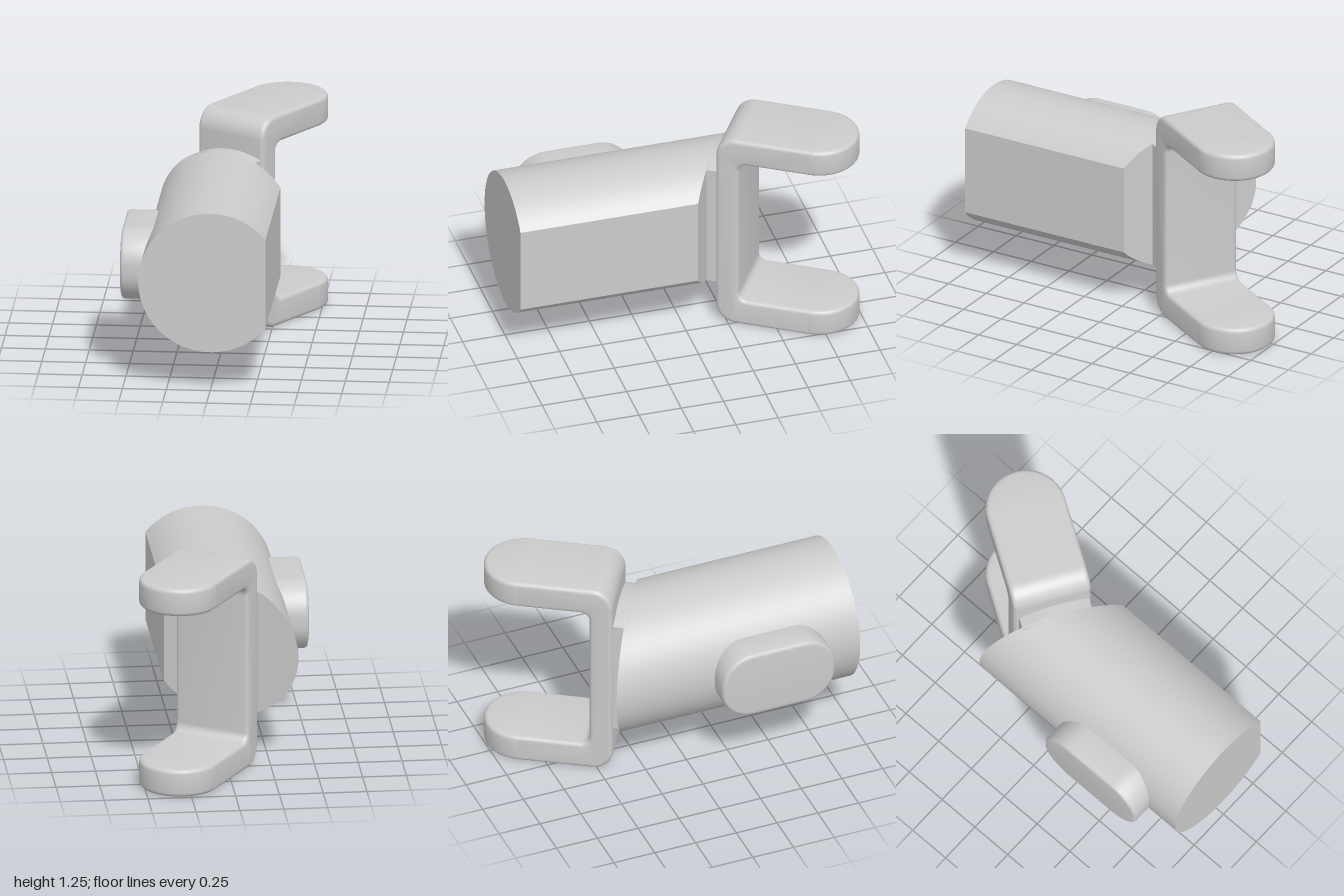
import * as THREE from 'three';
import { toCreasedNormals } from 'three/addons/utils/BufferGeometryUtils.js';

const TURN = THREE.MathUtils.degToRad(58); // heading of the fork, seen from above
const AXIS_Y = 0.637;                      // height of the body's axis
const R = 0.41;                            // body radius
const BEVEL = 0.025;

// the slanted plane that closes the back of the body
const slantZ = (x) => -0.243 + 0.61 * x;

export function createModel() {
  const model = new THREE.Group();
  const material = new THREE.MeshStandardMaterial({ color: 0xcccccc });

  function add(parent, name, geometry) {
    const mesh = new THREE.Mesh(toCreasedNormals(geometry, 0.55), material);
    mesh.name = name;
    parent.add(mesh);
    return mesh;
  }

  // extrude a shape from z = 0 to 1, then place each vertex by a rule
  function extrudeByRule(shape, rule) {
    const g = new THREE.ExtrudeGeometry(shape, { depth: 1, bevelEnabled: false, curveSegments: 32 });
    const p = g.attributes.position;
    for (let i = 0; i < p.count; i++) {
      p.setXYZ(i, ...rule(p.getX(i), p.getY(i), p.getZ(i) > 0.5));
    }
    return g;
  }

  // body: round bar with one flat side and a slanted back end
  const flat = Math.acos(0.315 / R);
  const bodyShape = new THREE.Shape();
  bodyShape.absarc(0, AXIS_Y, R, flat, 2 * Math.PI - flat, false);
  bodyShape.closePath();
  add(model, 'body', extrudeByRule(bodyShape, (x, y, front) => [x, y, front ? 1 : slantZ(x)]));

  // neck: middle slice of the bar, carried on into the fork
  const a = Math.acos(0.16 / R), b = Math.acos(-0.195 / R);
  const neckShape = new THREE.Shape();
  neckShape.absarc(0, AXIS_Y, R - 0.002, a, b, false);
  neckShape.absarc(0, AXIS_Y, R - 0.002, -b, -a, false);
  neckShape.closePath();
  add(model, 'neck', extrudeByRule(neckShape, (x, y, front) => {
    const reach = front ? -0.02 : 0.1;
    return [x + reach * Math.cos(TURN), y, slantZ(x) - reach * Math.sin(TURN)];
  }));

  // fork: C-shaped bracket; local x points outward, local z runs across its width
  const fork = new THREE.Group();
  fork.name = 'fork';
  fork.rotation.y = TURN;
  model.add(fork);

  const top = 1.25, arm = 0.163, half = 0.23, mid = -0.157;
  const back = 0.265, inner = 0.4, tip = 0.812, end = tip + BEVEL;
  const ro = 0.12, ri = 0.05;
  const c = new THREE.Shape();
  c.moveTo(end, 0);
  c.lineTo(end, arm);
  c.absarc(inner + ri, arm + ri, ri, -Math.PI / 2, -Math.PI, true);
  c.absarc(inner + ri, top - arm - ri, ri, Math.PI, Math.PI / 2, true);
  c.lineTo(end, top - arm);
  c.lineTo(end, top);
  c.absarc(back + ro, top - ro, ro, Math.PI / 2, Math.PI, false);
  c.absarc(back + ro, ro, ro, Math.PI, 1.5 * Math.PI, false);
  c.closePath();
  const bracket = new THREE.ExtrudeGeometry(c, {
    depth: 2 * (half - BEVEL), curveSegments: 8,
    bevelThickness: BEVEL, bevelSize: BEVEL, bevelOffset: -BEVEL, bevelSegments: 4,
  });
  bracket.translate(0, 0, mid - half + BEVEL);
  add(fork, 'bracket', bracket);

  // rounded arm tips: half discs with the same softened rim
  const rim = [new THREE.Vector2(0, 0)];
  for (const [y, start] of [[BEVEL, -Math.PI / 2], [arm - BEVEL, 0]]) {
    for (let i = 0; i <= 4; i++) {
      const t = start + (i / 4) * Math.PI / 2;
      rim.push(new THREE.Vector2(half - BEVEL + BEVEL * Math.cos(t), y + BEVEL * Math.sin(t)));
    }
  }
  rim.push(new THREE.Vector2(0, arm));
  for (const [name, y] of [['lowerArmTip', 0], ['upperArmTip', top - arm]]) {
    add(fork, name, new THREE.LatheGeometry(rim, 28, 0, Math.PI)).position.set(tip, y, mid);
  }

  // side button: rounded pad standing out of the body's right side
  const w = 0.345, h = 0.21, r = 0.19;
  const pad = new THREE.Shape();
  pad.absarc(w - r, h - r, r, 0, Math.PI / 2, false);
  pad.absarc(r - w, h - r, r, Math.PI / 2, Math.PI, false);
  pad.absarc(r - w, r - h, r, Math.PI, 1.5 * Math.PI, false);
  pad.absarc(w - r, r - h, r, 1.5 * Math.PI, 2 * Math.PI, false);
  const button = new THREE.ExtrudeGeometry(pad, {
    depth: 0.21, curveSegments: 10,
    bevelThickness: 0.02, bevelSize: 0.02, bevelOffset: -0.02, bevelSegments: 3,
  });
  button.rotateY(-Math.PI / 2);
  add(model, 'sideButton', button).position.set(-0.302, AXIS_Y, 0.455);

  return model;
}
